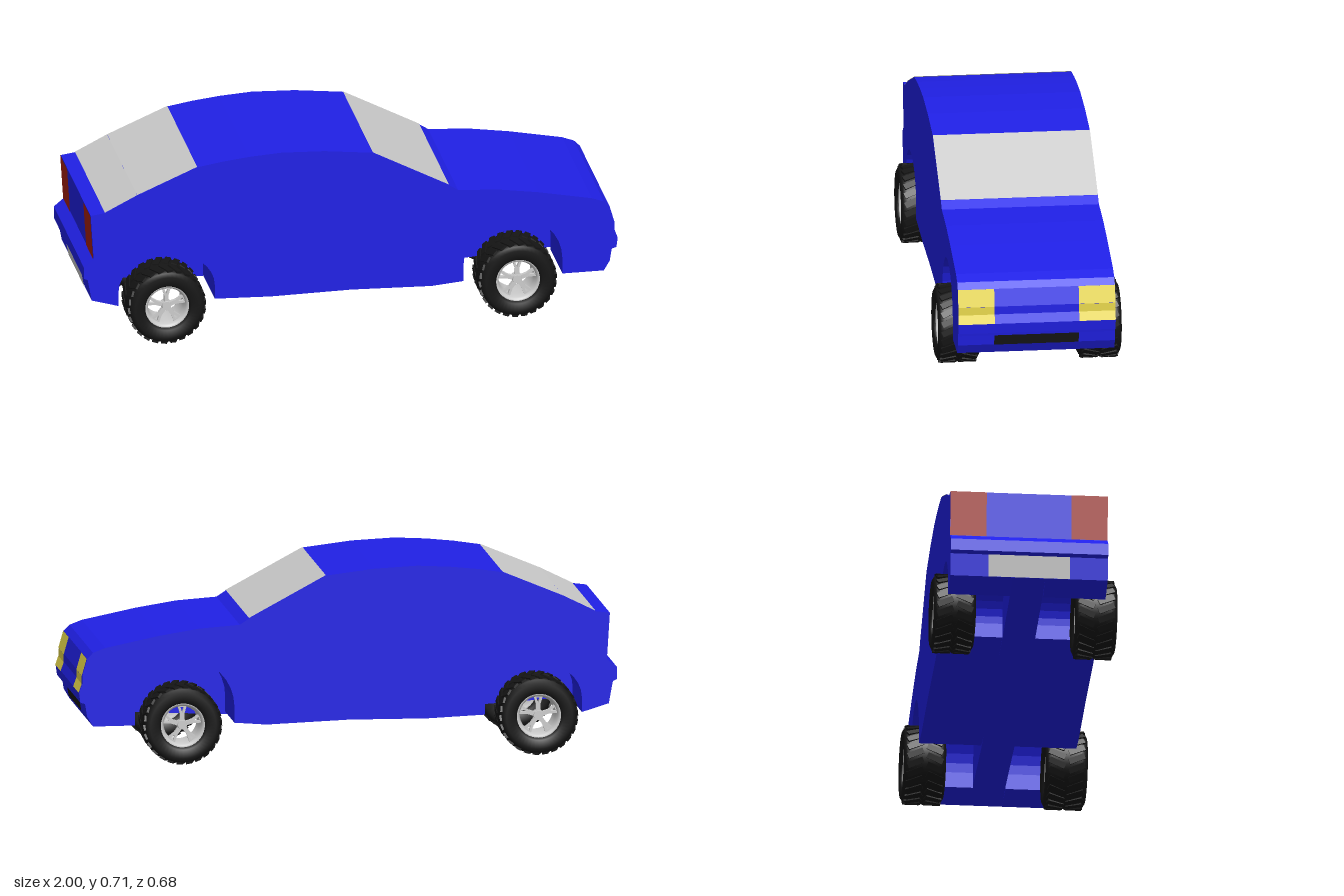
import * as THREE from 'three';

const mat = (color, extra = {}) => new THREE.MeshStandardMaterial({ color, ...extra });
const paint = mat(0x2020e6);
const grey = mat(0xcccccc, { side: THREE.DoubleSide });
const rubber = mat(0x151515);
const yellow = mat(0xe8d84c);
const red = mat(0xa8200f);
const HALF = 0.29; // half width of the body
const CORE = 0.06; // half thickness of the wall between the wheel wells

// Side profile, clockwise from the tail over the roof to the nose
const bumperLow = [[-0.97, 0.18], [-0.985, 0.262]];
const bumperTop = [[-1, 0.27], [-1, 0.315]];
const tailPanel = [[-0.963, 0.345], [-0.974, 0.518]];
const rearGlass = [[-0.92, 0.525], [-0.8, 0.585], [-0.575, 0.68]];
const roof = [[-0.48, 0.695], [-0.38, 0.706], [-0.26, 0.713], [-0.1, 0.706]];
const windshield = [[0.08, 0.685], [0.365, 0.533]];
const hood = [[0.4, 0.51], [0.55, 0.5], [0.7, 0.477], [0.9, 0.437], [0.945, 0.42]];
const lampFace = [[0.967, 0.398], [0.985, 0.335], [0.985, 0.305], [0.997, 0.272]];
const noseStep = [[0.992, 0.235], [0.975, 0.23]];
const grilleFace = [[0.973, 0.22], [0.967, 0.182]];
const upper = [...bumperLow, ...bumperTop, ...tailPanel, ...rearGlass, ...roof,
  ...windshield, ...hood, ...lampFace, ...noseStep, ...grilleFace, [0.945, 0.145]];

// Wheel arch opening, from its front edge to its rear edge
function arch(cx, cy, rx, ry, base) {
  const pts = [[cx + rx, base]];
  for (let i = 0; i <= 16; i++) {
    const a = (i / 16) * Math.PI;
    pts.push([cx + rx * Math.cos(a), cy + ry * Math.sin(a)]);
  }
  return [...pts, [cx - rx, base]];
}
const sill = [[0.3, 0.135], [0, 0.145], [-0.3, 0.142]];
const cutProfile = [...upper, ...arch(0.605, 0.205, 0.185, 0.182, 0.145), ...sill,
  ...arch(-0.69, 0.205, 0.18, 0.138, 0.15)];
const plainProfile = [...upper, [0.79, 0.155], [0.42, 0.135], ...sill,
  [-0.51, 0.145], [-0.87, 0.165]];

function add(parent, name, geometry, material) {
  const mesh = new THREE.Mesh(geometry, material);
  mesh.name = name;
  parent.add(mesh);
  return mesh;
}

function slab(parent, name, profile, z0, z1) {
  const shape = new THREE.Shape(profile.map(([x, y]) => new THREE.Vector2(x, y)));
  const geo = new THREE.ExtrudeGeometry(shape, { depth: z1 - z0, bevelEnabled: false });
  add(parent, name, geo.translate(0, 0, z0), paint);
}

// Thin panel laid just outside a run of the side profile
function panel(parent, name, run, z0, z1, material) {
  const pos = [];
  for (let i = 0; i + 1 < run.length; i++) {
    const [ax, ay] = run[i], [bx, by] = run[i + 1];
    const len = Math.hypot(bx - ax, by - ay);
    const ox = (-(by - ay) / len) * 0.002, oy = ((bx - ax) / len) * 0.002;
    const v = (x, y, z) => [x + ox, y + oy, z];
    const a = v(ax, ay, z1), b = v(bx, by, z1), c = v(bx, by, z0), d = v(ax, ay, z0);
    pos.push(...a, ...b, ...c, ...a, ...c, ...d);
  }
  const geo = new THREE.BufferGeometry();
  geo.setAttribute('position', new THREE.Float32BufferAttribute(pos, 3));
  geo.computeVertexNormals();
  add(parent, name, geo, material);
}

const lathe = (pts, n) => new THREE.LatheGeometry(
  pts.map(([r, z]) => new THREE.Vector2(r, z)), n).rotateX(Math.PI / 2);

// Wheel around the z axis, outer face toward +z
function makeWheel() {
  const wheel = new THREE.Group();
  const tire = lathe([[0.08, -0.062], [0.09, -0.074], [0.122, -0.078], [0.136, -0.07],
    [0.141, -0.055], [0.142, 0], [0.141, 0.055], [0.136, 0.07], [0.122, 0.078],
    [0.09, 0.074], [0.08, 0.062], [0.08, -0.062]].map(([r, z]) => [r, z]), 48);
  add(wheel, 'tire', tire, rubber);

  // Slanted tread blocks in two rows forming a chevron
  const count = 26;
  for (let i = 0; i < count; i++) {
    for (const s of [-1, 1]) {
      const arm = new THREE.Group();
      arm.rotation.z = ((i + (s > 0 ? 0.5 : 0)) / count) * Math.PI * 2;
      const block = add(arm, 'treadBlock', new THREE.BoxGeometry(0.008, 0.022, 0.062), rubber);
      block.geometry.scale(1, 1, 1);
      block.position.set(0.1415, 0, s * 0.036);
      block.rotation.x = s * 0.4;
      wheel.add(arm);
    }
  }

  // Rim barrel with lips
  add(wheel, 'rim', lathe([[0.08, -0.066], [0.074, -0.066], [0.068, -0.05], [0.066, 0.03],
    [0.071, 0.055], [0.076, 0.066], [0.082, 0.066]], 40), grey);

  // Five tapered spokes
  const outline = new THREE.Shape([[0.01, -0.008], [0.04, -0.008], [0.071, -0.017],
    [0.071, 0.017], [0.04, 0.008], [0.01, 0.008]].map(([x, y]) => new THREE.Vector2(x, y)));
  const slot = new THREE.Path([[0.046, 0], [0.066, 0.007], [0.066, -0.007]]
    .map(([x, y]) => new THREE.Vector2(x, y)));
  outline.holes.push(slot);
  const spokeGeo = new THREE.ExtrudeGeometry(outline, { depth: 0.014, bevelEnabled: false });
  for (let i = 0; i < 5; i++) {
    const spoke = add(wheel, 'spoke', spokeGeo, grey);
    spoke.position.z = 0.036;
    spoke.rotation.z = Math.PI / 2 + (i / 5) * Math.PI * 2;
  }
  add(wheel, 'hub', new THREE.CylinderGeometry(0.017, 0.02, 0.03, 20)
    .rotateX(Math.PI / 2).translate(0, 0, 0.042), grey);
  return wheel;
}

export function createModel() {
  const car = new THREE.Group();
  car.name = 'car';

  // Body: two sides with wheel arches around a solid centre wall
  slab(car, 'bodyCore', plainProfile, -CORE, CORE);
  slab(car, 'bodySideFront', cutProfile, CORE, HALF);
  slab(car, 'bodySideBack', cutProfile, -HALF, -CORE);

  // Glass, grille and plate
  panel(car, 'windshield', windshield, -HALF, HALF, grey);
  panel(car, 'rearWindow', rearGlass, -HALF, HALF, grey);
  panel(car, 'grille', grilleFace, -0.156, 0.156, rubber);
  panel(car, 'numberPlate', bumperLow, -0.15, 0.15, grey);

  // Lamps on both sides
  for (const [z0, z1] of [[0.156, HALF], [-HALF, -0.156]]) {
    panel(car, 'headlight', lampFace, z0, z1, yellow);
    panel(car, 'tailLight', tailPanel, z0, z1, red);
  }

  // Wheels
  for (const s of [1, -1]) {
    for (const [name, x] of [['noseWheel', 0.617], ['tailWheel', s > 0 ? -0.695 : -0.705]]) {
      const wheel = makeWheel();
      wheel.name = name;
      wheel.position.set(x, 0.147, s * 0.261);
      if (s < 0) wheel.rotation.y = Math.PI;
      car.add(wheel);
    }
  }
  return car;
}
